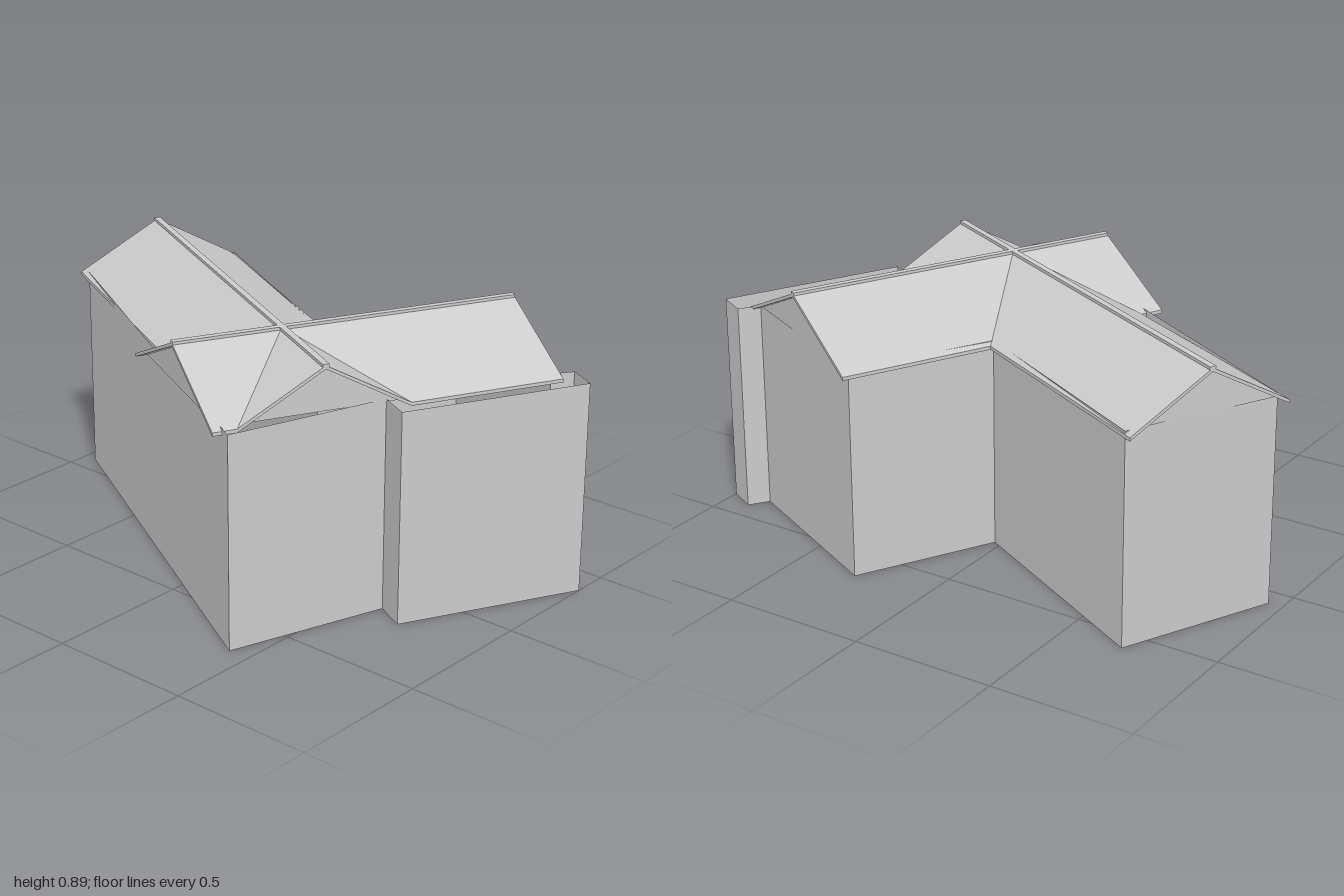
import * as THREE from 'three';

const material = new THREE.MeshStandardMaterial({ color: 0xcccccc, flatShading: true, side: THREE.DoubleSide });
const RIDGE = 0.884, EAVE = 0.72, WALL = 0.73, SLAB = 0.012;
const HALF_LONG = 0.29, HALF_CROSS = 0.36; // half widths of the two crossing roofs

function addMesh(parent, geometry, name) {
  const mesh = new THREE.Mesh(geometry, material);
  mesh.name = name;
  parent.add(mesh);
  return mesh;
}

// Flat convex panel from its corner points
function panel(points) {
  const positions = [];
  for (let i = 1; i < points.length - 1; i++) positions.push(...points[0], ...points[i], ...points[i + 1]);
  const geometry = new THREE.BufferGeometry();
  geometry.setAttribute('position', new THREE.Float32BufferAttribute(positions, 3));
  geometry.computeVertexNormals();
  return geometry;
}

// Thin slab over a plan outline, tilted by a height rule
function roofSlab(outline, height) {
  const shape = new THREE.Shape(outline.map(([x, z]) => new THREE.Vector2(x, z)));
  const geometry = new THREE.ExtrudeGeometry(shape, { depth: SLAB, bevelEnabled: false });
  geometry.rotateX(Math.PI / 2);
  const p = geometry.attributes.position;
  for (let i = 0; i < p.count; i++) p.setY(i, p.getY(i) + height(p.getX(i), p.getZ(i)));
  geometry.computeVertexNormals();
  return geometry;
}

export function createModel() {
  const house = new THREE.Group();
  house.name = 'house';

  // Outer walls, open at top and bottom, following the footprint (x, z)
  const footprint = [
    [-0.95, -0.077], [0.425, 0.69], [0.60, 0.152], [0.705, 0.205], [1.0, -0.375],
    [0.905, -0.425], [0.86, -0.36], [0.27, -0.65], [0.025, -0.195], [-0.71, -0.586],
  ];
  const walls = new THREE.Group();
  walls.name = 'walls';
  house.add(walls);
  footprint.forEach(([x, z], i) => {
    const [x2, z2] = footprint[(i + 1) % footprint.length];
    addMesh(walls, panel([[x, 0, z], [x2, 0, z2], [x2, WALL, z2], [x, WALL, z]]), 'wall');
  });

  // Crossing gable roofs, turned to follow the walls
  const roof = new THREE.Group();
  roof.name = 'roof';
  roof.position.set(0.21, 0, 0.2);
  roof.rotation.y = -0.467;
  house.add(roof);

  const drop = RIDGE - EAVE;
  const arms = [
    { along: 'x', end: -1.205, gable: -1.168 },
    { along: 'x', end: 0.36, gable: 0.33 },
    { along: 'z', end: -0.82, gable: -0.788 },
    { along: 'z', end: 0.37, gable: 0.34 },
  ];
  for (const { along, end, gable } of arms) {
    const isX = along === 'x';
    const half = isX ? HALF_LONG : HALF_CROSS;
    const valley = Math.sign(end) * (isX ? HALF_CROSS : HALF_LONG);
    const place = (a, b) => (isX ? [a, b] : [b, a]);
    const height = (x, z) => RIDGE - drop * Math.abs(isX ? z : x) / half;

    // Two slopes per arm, cut along the valleys
    for (const side of [-1, 1]) {
      const outline = [place(0, 0), place(end, 0), place(end, side * half)];
      if (Math.abs(end - valley) > 0.001) outline.push(place(valley, side * half));
      addMesh(roof, roofSlab(outline, height), 'roofSlope');
    }

    // Ridge cap
    const length = Math.abs(end);
    const cap = addMesh(roof, new THREE.BoxGeometry(isX ? length : 0.022, 0.01, isX ? 0.022 : length), 'ridgeCap');
    const [cx, cz] = place(end / 2, 0);
    cap.position.set(cx, RIDGE, cz);

    // Gable triangle under the roof end
    const corner = (b, y) => { const [x, z] = place(gable, b); return [x, y, z]; };
    const inset = half - 0.03;
    addMesh(roof, panel([corner(-inset, WALL - 0.008), corner(inset, WALL - 0.008), corner(0, RIDGE - SLAB)]), 'gable');
  }
  return house;
}
